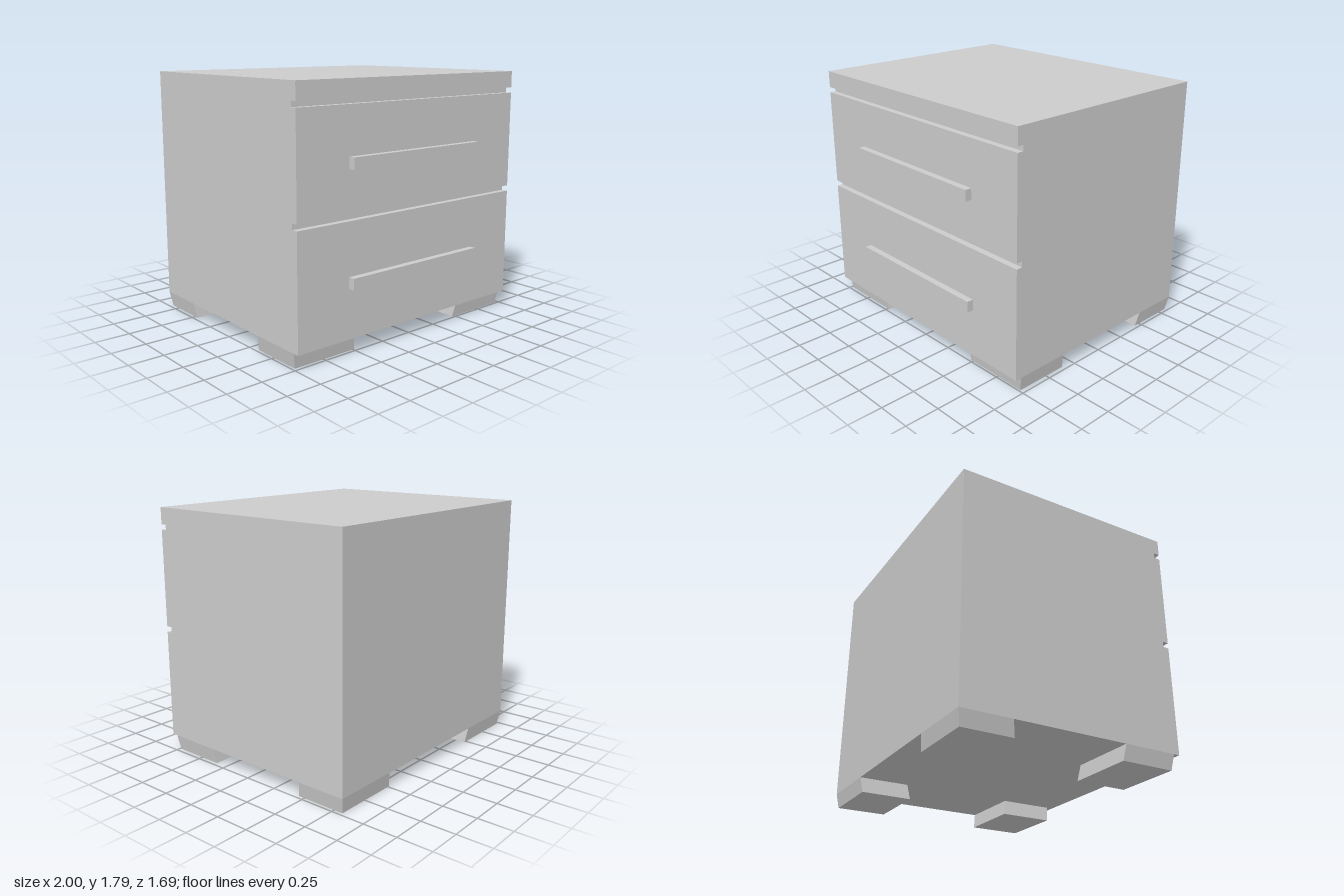
import * as THREE from 'three';

const material = new THREE.MeshStandardMaterial({ color: 0xcccccc, flatShading: true });
const W = 1.988, FRONT = 0.8175, BACK = -0.8175, BASE = 0.11, TOP = 1.79, GROOVE = 0.045;

function addMesh(parent, name, geometry) {
  const mesh = new THREE.Mesh(geometry, material);
  mesh.name = name;
  parent.add(mesh);
  return mesh;
}

// Side outline with a notch per drawer gap, extruded across the width
function bodyGeometry() {
  const outline = [[BACK, BASE], [FRONT, BASE]];
  for (const [low, high] of [[0.897, 0.938], [1.633, 1.671]]) {
    outline.push([FRONT, low], [FRONT - GROOVE, low], [FRONT - GROOVE, high], [FRONT, high]);
  }
  outline.push([FRONT, TOP], [BACK, TOP]);
  const shape = new THREE.Shape(outline.map(([z, y]) => new THREE.Vector2(-z, y)));
  return new THREE.ExtrudeGeometry(shape, { depth: W, bevelEnabled: false })
    .translate(0, 0, -W / 2)
    .rotateY(Math.PI / 2);
}

// Block foot whose underside leans towards the centre of the cabinet
function footGeometry(x0, x1, z0, z1) {
  const geometry = new THREE.BoxGeometry(x1 - x0, BASE, z1 - z0);
  const cx = (x0 + x1) / 2, cz = (z0 + z1) / 2;
  geometry.translate(cx, BASE / 2, cz);
  const p = geometry.attributes.position;
  for (let i = 0; i < p.count; i++) {
    if (p.getY(i) < 0.01) {
      p.setX(i, p.getX(i) - Math.sign(cx) * 0.02);
      p.setZ(i, p.getZ(i) - Math.sign(cz) * 0.017);
    }
  }
  geometry.computeVertexNormals();
  return geometry;
}

export function createModel() {
  const model = new THREE.Group();
  model.name = 'bedsideCabinet';
  const cabinet = new THREE.Group();
  cabinet.name = 'cabinet';
  model.add(cabinet);

  addMesh(cabinet, 'body', bodyGeometry());

  // Drawer handles
  for (const [name, y] of [['upperHandle', 1.269], ['lowerHandle', 0.492]]) {
    addMesh(cabinet, name, new THREE.BoxGeometry(1.165, 0.078, 0.047)).position.set(0.003, y, FRONT + 0.0235);
  }

  // Feet, the front pair set back from the drawer fronts
  for (const [side, x0, x1] of [['Left', 0.505, W / 2], ['Right', -W / 2, -0.5]]) {
    addMesh(cabinet, 'front' + side + 'Foot', footGeometry(x0, x1, 0.378, FRONT - GROOVE));
    addMesh(cabinet, 'back' + side + 'Foot', footGeometry(x0, x1, BACK, -0.453));
  }

  // The cabinet stands very slightly turned
  cabinet.rotation.y = -0.0075;
  cabinet.position.set(-0.002, 0, -0.025);
  return model;
}
